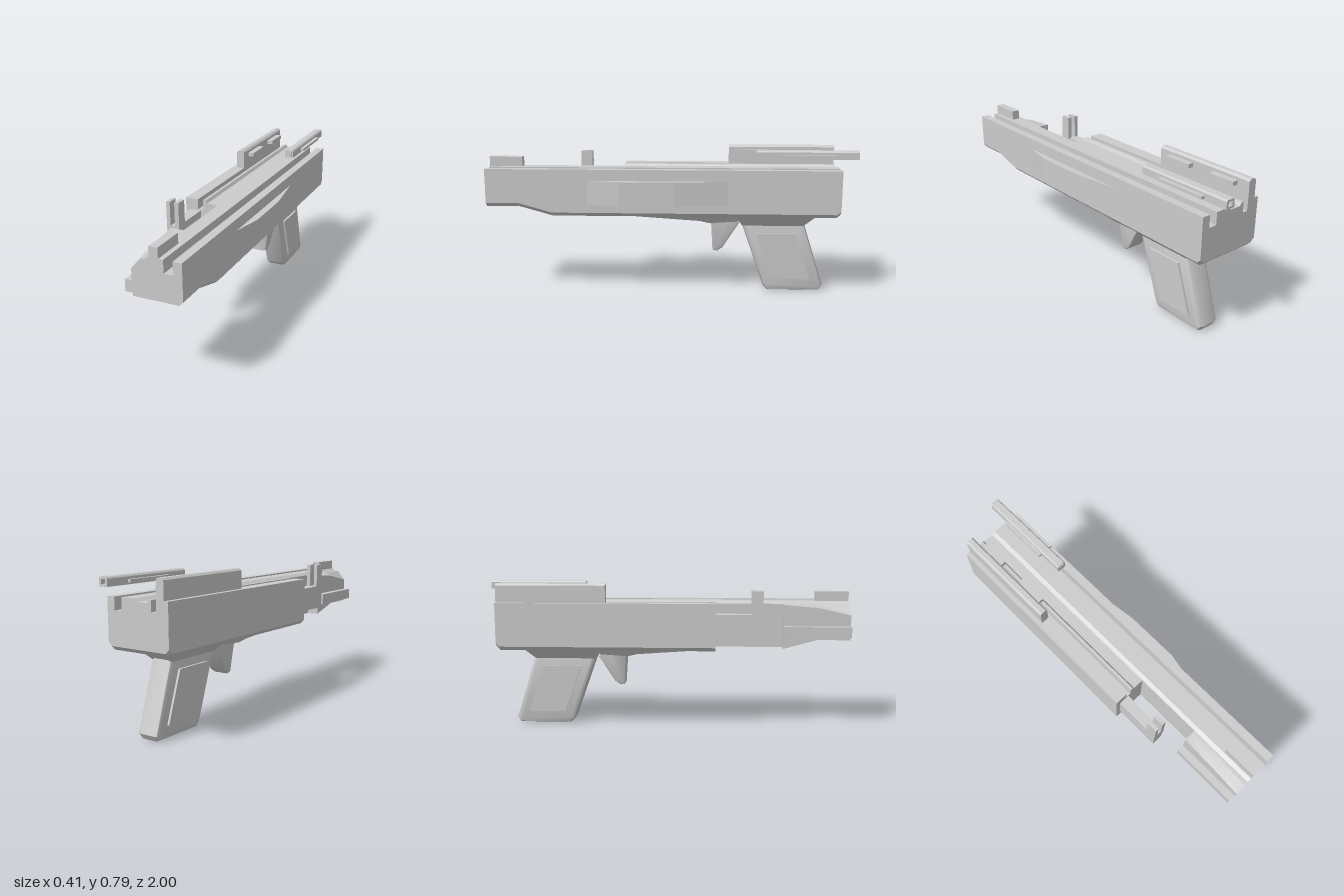
import * as THREE from 'three';
import { toCreasedNormals } from 'three/addons/utils/BufferGeometryUtils.js';

const material = new THREE.MeshStandardMaterial({ color: 0xcccccc });
const shapeOf = pts => new THREE.Shape(pts.map(p => new THREE.Vector2(...p)));

// Joins matching cross-sections [z, points in x/y], ordered from back to front.
function loft(rings) {
  const pos = [], n = rings[0][1].length;
  const at = (r, i) => [...rings[r][1][i % n], rings[r][0]];
  for (let r = 0; r < rings.length - 1; r++)
    for (let i = 0; i < n; i++) {
      const a = at(r, i), b = at(r, i + 1), c = at(r + 1, i + 1), d = at(r + 1, i);
      pos.push(...a, ...b, ...c, ...a, ...c, ...d);
    }
  const last = rings.length - 1;
  for (const r of [0, last]) {
    const contour = rings[r][1].map(p => new THREE.Vector2(...p));
    for (const [a, b, c] of THREE.ShapeUtils.triangulateShape(contour, []))
      for (const i of r ? [a, b, c] : [a, c, b]) pos.push(...at(r, i));
  }
  const geo = new THREE.BufferGeometry();
  geo.setAttribute('position', new THREE.Float32BufferAttribute(pos, 3));
  geo.computeVertexNormals();
  return toCreasedNormals(geo, 0.5);
}

// Extrudes a side outline (z, y) across x, centred; bevel stays inside the outline.
function sideExtrude(pts, width, bevel = 0) {
  const depth = width - 2 * bevel;
  const geo = new THREE.ExtrudeGeometry(shapeOf(pts), {
    depth, bevelEnabled: bevel > 0, bevelSize: bevel, bevelThickness: bevel,
    bevelOffset: -bevel, bevelSegments: 2,
  });
  return geo.translate(0, 0, -depth / 2).rotateY(-Math.PI / 2);
}

// Scales x by a rule of height.
function taper(geo, rule) {
  const p = geo.attributes.position;
  for (let i = 0; i < p.count; i++) p.setX(i, p.getX(i) * rule(p.getY(i)));
  geo.computeVertexNormals();
  return toCreasedNormals(geo, 0.5);
}

function boxBetween(x0, x1, y0, y1, z0, z1) {
  return new THREE.BoxGeometry(x1 - x0, y1 - y0, z1 - z0)
    .translate((x0 + x1) / 2, (y0 + y1) / 2, (z0 + z1) / 2);
}

export function createModel() {
  const group = new THREE.Group();
  const add = (name, geo) => {
    const mesh = new THREE.Mesh(geo, material);
    mesh.name = name;
    group.add(mesh);
  };

  // Long main body with a slot along the top and a raised chin in front
  const bodyRing = b => [[-0.02, b], [0.145, b], [0.165, b + 0.02], [0.165, 0.69], [0.12, 0.69],
    [0.12, 0.625], [0.075, 0.625], [0.075, 0.69], [0, 0.69], [-0.02, 0.675]];
  add('mainBody', loft([[-0.91, bodyRing(0.455)], [-0.89, bodyRing(0.435)], [0.64, bodyRing(0.435)],
    [0.82, bodyRing(0.485)], [1, bodyRing(0.485)]]));

  // Side housing with grooves in its top
  const housingRing = b => [[-0.185, b], [-0.02, b], [-0.02, 0.675], [-0.08, 0.675], [-0.09, 0.69],
    [-0.105, 0.69], [-0.105, 0.635], [-0.135, 0.635], [-0.135, 0.69], [-0.205, 0.69], [-0.205, b + 0.02]];
  add('sideHousing', loft([[-0.91, housingRing(0.455)], [-0.89, housingRing(0.435)],
    [0.27, housingRing(0.435)]]));

  // Stepped block beside the nose, its shoulder falling towards the front
  const noseRing = (b, top) => [[-0.088, b], [-0.02, b], [-0.02, 0.675], [-0.04, 0.675], [-0.088, top],
    [-0.088, 0.56], [-0.125, 0.56], [-0.125, 0.5], [-0.088, 0.5]];
  add('noseBlock', loft([[0.64, noseRing(0.435, 0.675)], [0.82, noseRing(0.485, 0.66)],
    [1, noseRing(0.485, 0.62)]]));
  add('noseTab', boxBetween(0.005, 0.05, 0.68, 0.742, 0.82, 1));

  // Tapered cover on the flank
  const cover = new THREE.ExtrudeGeometry(
    shapeOf([[0.16, -0.31], [0.165, -0.31], [0.202, -0.02], [0.202, 0.27], [0.165, 0.45], [0.16, 0.45]]),
    { depth: 0.13, bevelEnabled: false });
  add('flankCover', cover.rotateX(Math.PI / 2).translate(0, 0.63, 0));

  // Bracket with twin posts
  add('postBracket', boxBetween(-0.18, -0.12, 0.5, 0.63, 0.26, 0.52));
  for (const [x0, x1] of [[-0.18, -0.16], [-0.135, -0.112]])
    add('post', boxBetween(x0, x1, 0.56, 0.755, 0.46, 0.52));

  // Rear fin with chamfered top and two inner lugs
  const fin = [[-0.18, 0.68], [-0.135, 0.68], [-0.135, 0.782], [-0.145, 0.792], [-0.17, 0.792], [-0.18, 0.782]];
  add('rearFin', loft([[-0.91, fin], [-0.32, fin]]));
  for (const [z0, z1] of [[-0.84, -0.69], [-0.55, -0.39]])
    add('finLug', boxBetween(-0.14, -0.102, 0.745, 0.767, z0, z1));

  // Sighting tube, open along its length, with side rails
  const tube = shapeOf([[0.07, 0.745], [0.12, 0.745], [0.12, 0.782], [0.113, 0.79], [0.077, 0.79], [0.07, 0.782]]);
  tube.holes.push(new THREE.Path([[0.082, 0.756], [0.082, 0.779], [0.108, 0.779], [0.108, 0.756]]
    .map(p => new THREE.Vector2(...p))));
  add('sightTube', new THREE.ExtrudeGeometry(tube, { depth: 0.54, bevelEnabled: false }).translate(0, 0, -1));
  add('sightCore', boxBetween(0.08, 0.11, 0.752, 0.782, -0.96, -0.456));
  for (const [x0, x1] of [[0.052, 0.072], [0.118, 0.14]])
    add('sightRail', boxBetween(x0, x1, 0.755, 0.77, -0.87, -0.59));

  // Underside fairing
  const flare = y => THREE.MathUtils.mapLinear(y, 0.435, 0.37, 1, 0.6);
  add('undersideFairing', taper(sideExtrude([[0.27, 0.436], [-0.16, 0.402], [-0.21, 0.388],
    [-0.36, 0.4], [-0.39, 0.436]].reverse(), 0.25), flare));

  // Trigger
  add('trigger', taper(sideExtrude([[-0.2, 0.436], [-0.222, 0.37], [-0.23, 0.225], [-0.255, 0.22],
    [-0.285, 0.24], [-0.375, 0.385], [-0.335, 0.436]].reverse(), 0.15, 0.012),
  y => THREE.MathUtils.mapLinear(y, 0.435, 0.22, 1, 0.62)));

  // Grip with a flared root and side panels
  add('gripFlare', taper(sideExtrude([[-0.35, 0.436], [-0.392, 0.37], [-0.725, 0.37], [-0.785, 0.436]].reverse(),
    0.25), y => THREE.MathUtils.mapLinear(y, 0.435, 0.37, 1, 0.5)));
  add('grip', toCreasedNormals(sideExtrude([[-0.375, 0.42], [-0.515, 0.025], [-0.54, 0], [-0.825, 0],
    [-0.845, 0.03], [-0.72, 0.42]].reverse(), 0.126, 0.022), 0.5));
  add('gripPanels', sideExtrude([[-0.47, 0.33], [-0.565, 0.07], [-0.77, 0.07], [-0.68, 0.33]].reverse(), 0.15));

  return group;
}
